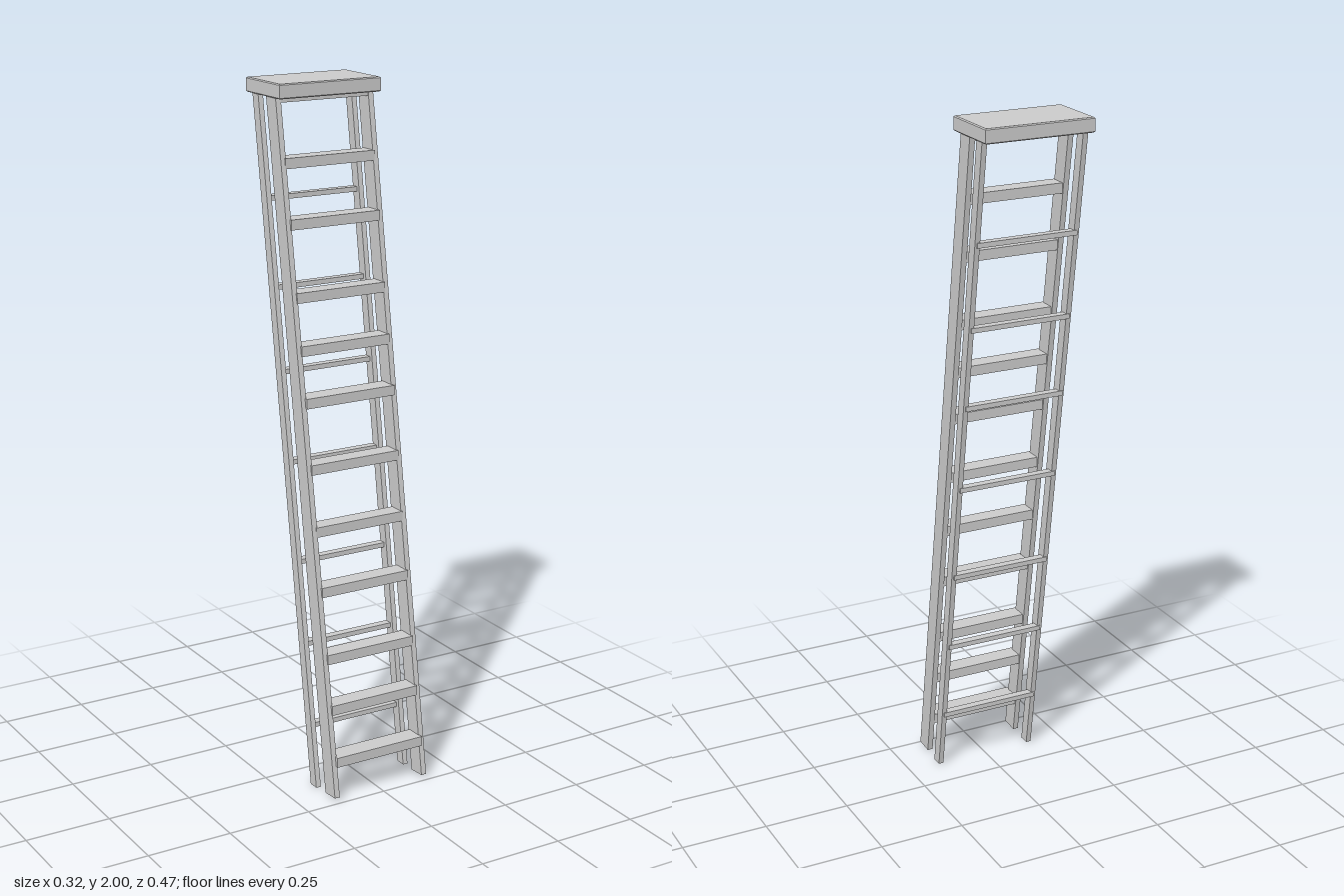
import * as THREE from 'three';

const material = new THREE.MeshStandardMaterial({ color: 0xcccccc, flatShading: true });

function box(name, w, h, d, x, y, z) {
  const mesh = new THREE.Mesh(new THREE.BoxGeometry(w, h, d), material);
  mesh.name = name;
  mesh.position.set(x, y, z);
  return mesh;
}

// Leaning leg: a sheared slab given by its side outline [z, y]
function leg(name, x, width, outline) {
  const shape = new THREE.Shape(outline.map(([z, y]) => new THREE.Vector2(-z, y)));
  const geometry = new THREE.ExtrudeGeometry(shape, { depth: width, bevelEnabled: false });
  geometry.translate(0, 0, -width / 2);
  geometry.rotateY(Math.PI / 2);
  const mesh = new THREE.Mesh(geometry, material);
  mesh.name = name;
  mesh.position.x = x;
  return mesh;
}

// Height to depth along the leaning legs
const frontEdge = (y) => 0.235 - 0.16 * (y - 0.01);
const rearEdge = (y) => 0.1 - 0.155 * y;

export function createModel() {
  const group = new THREE.Group();
  group.name = 'stepladder';

  // Top platform with a thin bevelled edge
  const b = 0.003;
  const rect = new THREE.Shape([[-1, -1], [1, -1], [1, 1], [-1, 1]].map(
    ([sx, sz]) => new THREE.Vector2(sx * (0.16 - b), sz * (0.094 - b))));
  const capGeometry = new THREE.ExtrudeGeometry(rect, {
    depth: 0.041 - 2 * b, bevelThickness: b, bevelSize: b, bevelSegments: 1,
  });
  capGeometry.rotateX(-Math.PI / 2);
  const cap = new THREE.Mesh(capGeometry, material);
  cap.name = 'topPlatform';
  cap.position.set(0, 1.959 + b, -0.139);
  group.add(cap);

  // Front and rear legs, mirrored
  const top = 1.97;
  for (const [side, s] of [['left', 1], ['right', -1]]) {
    group.add(leg(`${side}FrontLeg`, s * 0.1465, 0.016, [
      [frontEdge(0.01), 0.01], [frontEdge(top), top],
      [frontEdge(top) - 0.053, top], [frontEdge(0.01) - 0.053, 0.006],
    ]));
    group.add(leg(`${side}RearLeg`, s * 0.1485, 0.015, [
      [rearEdge(0) + 0.032, 0], [rearEdge(top) + 0.032, top],
      [rearEdge(top), top], [rearEdge(0), 0],
    ]));
  }

  // Treads [height, overhang past the front legs]
  const treads = [
    [0.115, 0.011], [0.264, 0.006], [0.41, 0.005], [0.602, 0.005], [0.772, 0.002], [0.947, 0.004],
    [1.133, 0.01], [1.276, 0.005], [1.421, 0.004], [1.62, 0.006], [1.784, 0.003], [1.96, 0.0],
  ];
  for (const [y, overhang] of treads) {
    const front = frontEdge(y) + overhang;
    const depth = 0.049 + overhang;
    group.add(box('tread', 0.284, 0.029, depth, 0, y, front - depth / 2));
  }

  // Thin cross bars on the rear legs
  for (const y of [0.178, 0.417, 0.655, 0.94, 1.195, 1.43, 1.675]) {
    group.add(box('rearBar', 0.3, 0.014, 0.024, 0, y, rearEdge(y) + 0.008));
  }
  return group;
}
